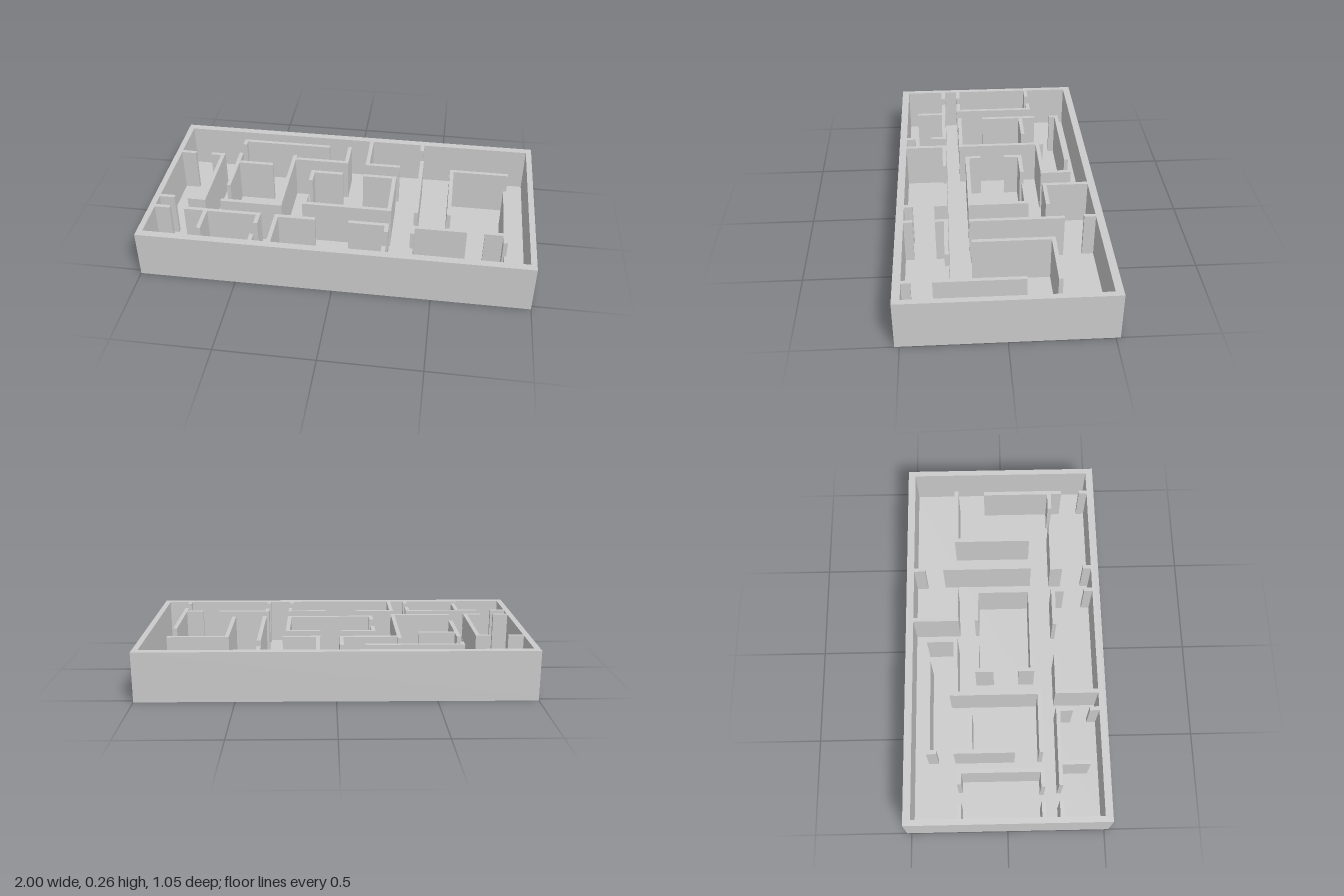
import * as THREE from 'three';

const HEIGHT = 0.257, FLOOR = 0.02, WALL = 0.021;
const X = 1, Z = 0.523;              // outer half sizes
const IN_X = 0.97, IN_Z = 0.484;     // inner half sizes

// Partitions running along x: [xStart, xEnd, z centre]
const ROWS = [
  // left rooms
  [-0.98, -0.89, -0.242], [-0.80, -0.722, -0.242],
  [-0.98, -0.89, 0.181], [-0.818, -0.722, 0.181],
  // front row of rooms
  [-0.98, -0.89, 0.271], [-0.813, -0.406, 0.271], [-0.333, -0.12, 0.271],
  [0.053, 0.262, 0.271], [0.374, 0.658, 0.271], [0.747, 0.86, 0.271],
  // back left rooms
  [-0.642, -0.144, -0.40], [-0.642, -0.433, -0.184],
  [-0.337, -0.019, -0.257], [-0.642, -0.313, 0.177],
  // central room
  [-0.208, -0.032, -0.145], [0.08, 0.262, -0.145], [-0.208, 0.262, 0.145],
  // back right rooms
  [0.08, 0.273, -0.254], [0.55, 0.868, -0.251],
];

// Partitions running along z: [zStart, zEnd, x centre]
const COLUMNS = [
  // left rooms
  [-0.253, 0.192, -0.733], [-0.41, -0.358, -0.632], [-0.27, 0.043, -0.632],
  [-0.29, 0.187, -0.325], [-0.41, -0.247, -0.028],
  // front row of rooms and the door stubs on the front wall
  [0.271, 0.425, -0.698], [0.26, 0.348, -0.418], [0.436, 0.49, -0.418],
  [0.26, 0.49, -0.323], [0.26, 0.33, 0.251], [0.44, 0.49, 0.251],
  [0.26, 0.326, 0.384], [0.44, 0.49, 0.384], [0.44, 0.49, 0.85],
  // central room
  [-0.155, -0.06, -0.199], [0.072, 0.155, -0.199], [-0.155, 0.155, 0.251],
  // back right rooms
  [-0.49, -0.243, 0.091], [-0.49, -0.425, 0.384], [-0.326, 0.155, 0.391],
  [-0.26, 0.15, 0.56], [-0.097, 0.34, 0.85],
];

export function createModel() {
  const group = new THREE.Group();
  const material = new THREE.MeshStandardMaterial({ color: 0xcccccc, flatShading: true });

  const add = (name, geometry) => {
    const mesh = new THREE.Mesh(geometry, material);
    mesh.name = name;
    group.add(mesh);
    return mesh;
  };

  // Box spanning a plan rectangle between two heights
  const slab = (name, x0, x1, z0, z1, y0, y1) =>
    add(name, new THREE.BoxGeometry(x1 - x0, y1 - y0, z1 - z0))
      .position.set((x0 + x1) / 2, (y0 + y1) / 2, (z0 + z1) / 2);

  // Floor slab
  slab('floor', -X, X, -Z, Z, 0, FLOOR);

  // Outer wall: one rectangular ring
  const rectangle = (path, x, z) =>
    path.moveTo(-x, -z).lineTo(x, -z).lineTo(x, z).lineTo(-x, z).closePath();
  const ring = rectangle(new THREE.Shape(), X, Z);
  ring.holes.push(rectangle(new THREE.Path(), IN_X, IN_Z));
  const outer = new THREE.ExtrudeGeometry(ring, { depth: HEIGHT - FLOOR, bevelEnabled: false });
  outer.rotateX(-Math.PI / 2);
  add('outerWall', outer).position.y = FLOOR;

  // Interior partitions
  const t = WALL / 2;
  for (const [a, b, z] of ROWS) slab('partitionAcross', a, b, z - t, z + t, FLOOR, HEIGHT);
  for (const [a, b, x] of COLUMNS) slab('partitionAlong', x - t, x + t, a, b, FLOOR, HEIGHT);

  return group;
}
